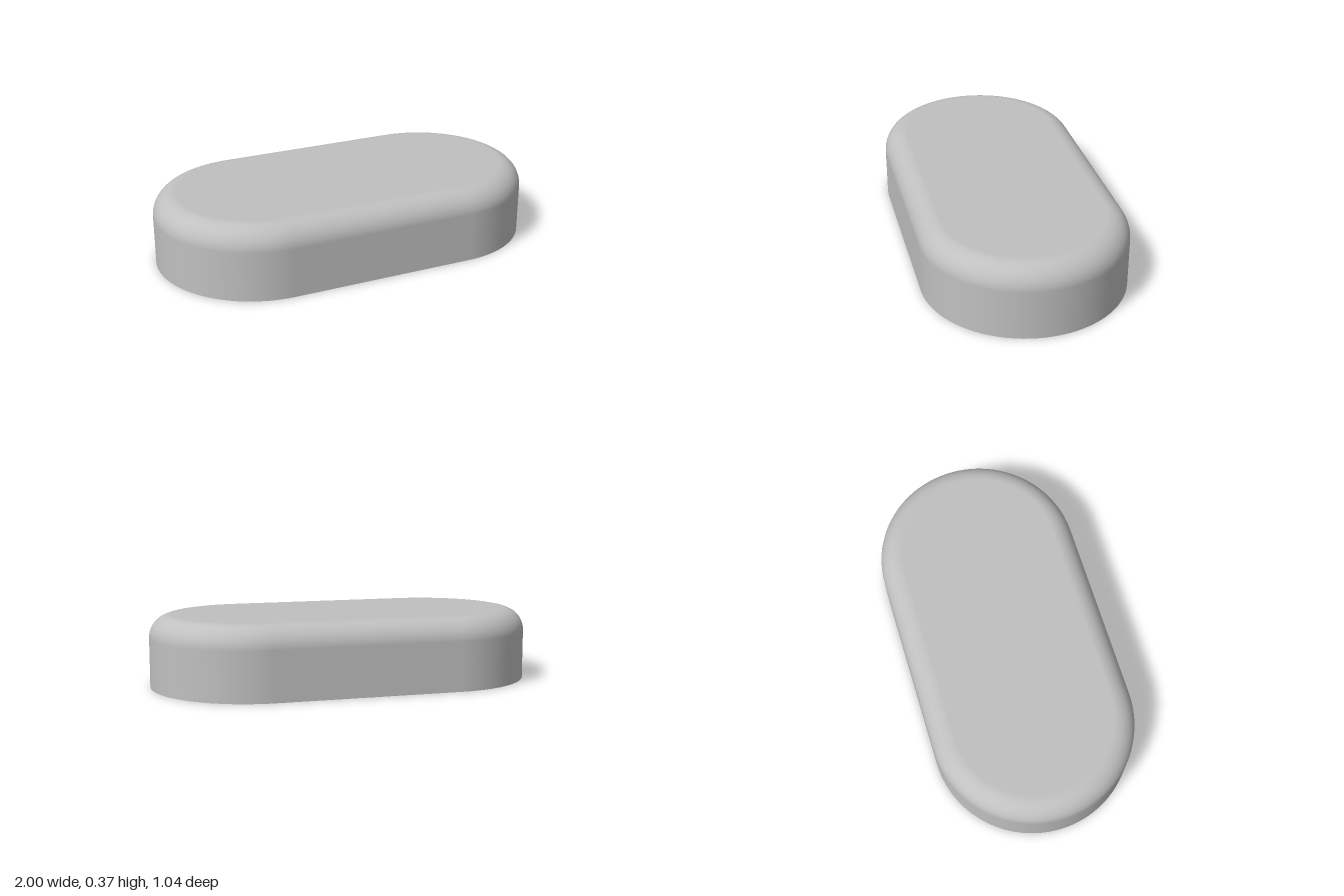
import * as THREE from 'three';
import { toCreasedNormals } from 'three/addons/utils/BufferGeometryUtils.js';

const R = 0.52, CX = 0.48, H = 0.37, FILLET = 0.115;   // outer body
const WELL_R = 0.388, RIM_R = 0.426, WELL_H = 0.307;   // round wells underneath
const ARC = 48;

// Outer wall, rounded shoulder and flat top: a profile swept around a pill outline
function shellGeometry() {
  const profile = [[R, 0, 1, 0]];                      // radius, height, outward and upward normal
  for (let k = 0; k <= 12; k++) {
    const t = (k / 12) * Math.PI / 2, c = Math.cos(t), s = Math.sin(t);
    profile.push([R - FILLET + FILLET * c, H - FILLET + FILLET * s, c, s]);
  }
  profile.push([0, H, 0, 1]);

  const outline = [];                                  // angle and arc centre
  for (const side of [1, -1]) {
    for (let k = 0; k <= ARC; k++) {
      outline.push([(side > 0 ? -0.5 : 0.5) * Math.PI + Math.PI * k / ARC, side * CX]);
    }
  }
  outline.push(outline[0]);

  const pos = [], nor = [], index = [], n = outline.length;
  profile.forEach(([r, y, out, up], j) => {
    outline.forEach(([a, cx], i) => {
      const c = Math.cos(a), s = Math.sin(a);
      pos.push(cx + r * c, y, r * s);
      nor.push(out * c, up, out * s);
      if (j < profile.length - 1 && i < n - 1) {
        const p = j * n + i, q = p + n;
        index.push(p, q, p + 1, p + 1, q, q + 1);
      }
    });
  });
  const geo = new THREE.BufferGeometry();
  geo.setAttribute('position', new THREE.Float32BufferAttribute(pos, 3));
  geo.setAttribute('normal', new THREE.Float32BufferAttribute(nor, 3));
  geo.setIndex(index);
  return geo;
}

// Flat underside with two round openings
function undersideGeometry() {
  const shape = new THREE.Shape();
  shape.absarc(CX, 0, R, -Math.PI / 2, Math.PI / 2, false);
  shape.absarc(-CX, 0, R, Math.PI / 2, Math.PI * 1.5, false);
  shape.closePath();
  for (const side of [1, -1]) {
    const hole = new THREE.Path();
    hole.absarc(side * CX, 0, RIM_R, 0, Math.PI * 2, true);
    shape.holes.push(hole);
  }
  return new THREE.ShapeGeometry(shape, ARC * 2).rotateX(Math.PI / 2);
}

// Ceiling, wall and chamfered rim of one well
function wellGeometry() {
  const points = [[0, WELL_H], [WELL_R, WELL_H], [WELL_R, RIM_R - WELL_R], [RIM_R, 0]]
    .map(([x, y]) => new THREE.Vector2(x, y));
  return toCreasedNormals(new THREE.LatheGeometry(points, ARC * 2), 0.5);
}

export function createModel() {
  const group = new THREE.Group();
  group.name = 'doubleCap';
  const grey = new THREE.MeshStandardMaterial({ color: 0xc0c0c0 });
  grey.name = 'light grey';

  const add = (name, geometry, x = 0) => {
    const mesh = new THREE.Mesh(geometry, grey);
    mesh.name = name;
    mesh.position.x = x;
    group.add(mesh);
  };
  add('outerShell', shellGeometry());
  add('underside', undersideGeometry());
  const well = wellGeometry();
  add('leftWell', well, CX);
  add('rightWell', well, -CX);
  return group;
}
